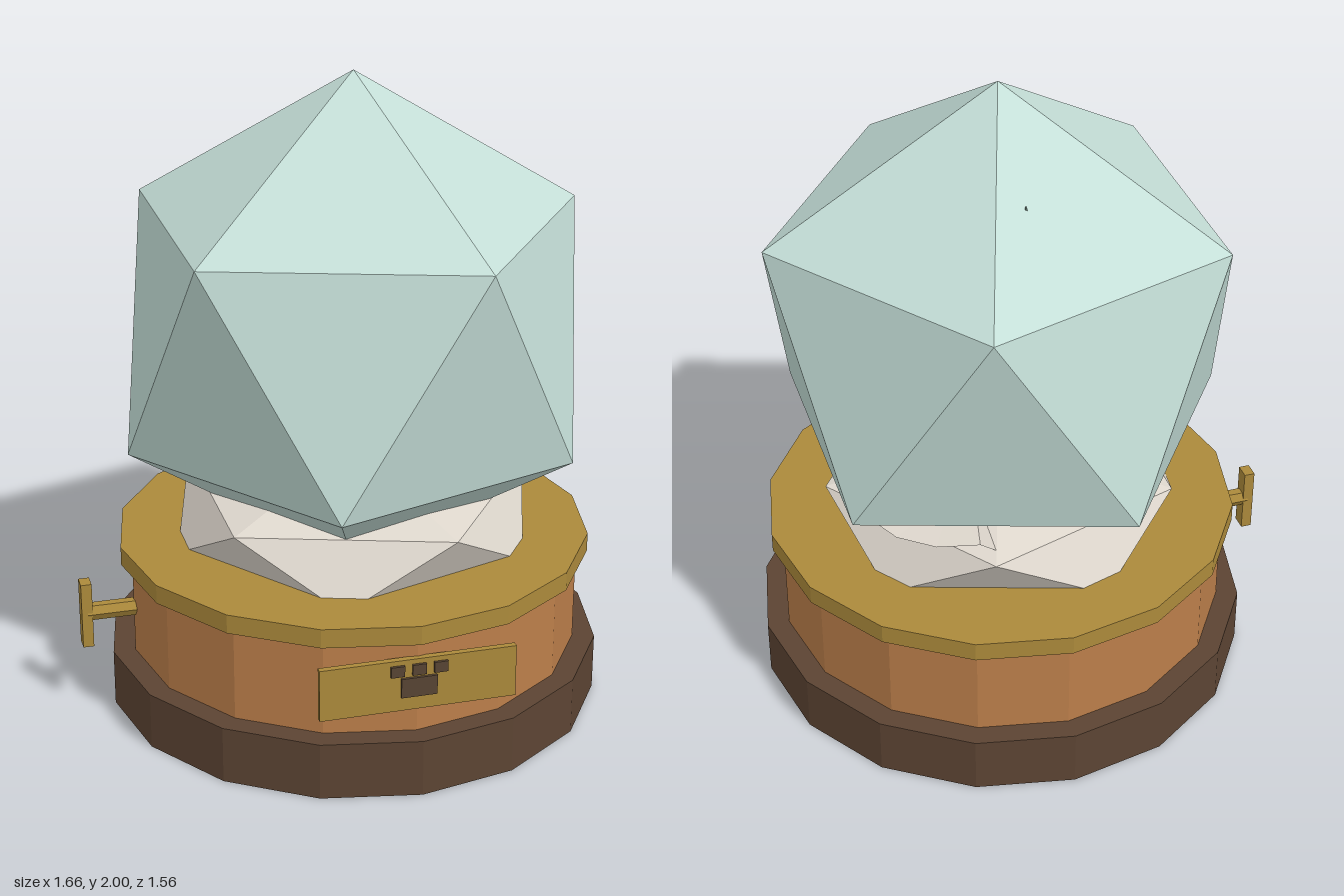
import * as THREE from 'three';
import { ConvexGeometry } from 'three/addons/geometries/ConvexGeometry.js';

const paint = (name, color) => {
  const m = new THREE.MeshStandardMaterial({ color, flatShading: true });
  m.name = name;
  return m;
};

export function createModel() {
  const glass = paint('paleGlass', 0xc4ded7);
  const snow = paint('snow', 0xded7cd);
  const wood = paint('warmWood', 0xbb7e4a);
  const darkWood = paint('darkWood', 0x5c4433);
  const brass = paint('brass', 0xab893b);
  const mark = paint('darkMark', 0x574433);
  const bark = paint('bark', 0x7c5238);
  const pine = paint('pine', 0x64796f);

  const model = new THREE.Group();
  model.name = 'snowGlobe';
  const CX = 0.045; // shared axis of the base and the globe

  const add = (name, geometry, material, x, y, z) => {
    const mesh = new THREE.Mesh(geometry, material);
    mesh.name = name;
    mesh.position.set(x, y, z);
    model.add(mesh);
    return mesh;
  };
  const box = (name, mat, w, h, d, x, y, z) => add(name, new THREE.BoxGeometry(w, h, d), mat, x, y, z);

  // Twenty-sided solid standing on one corner
  const icosahedron = (radius, height) => {
    const points = [new THREE.Vector3(0, height, 0), new THREE.Vector3(0, -height, 0)];
    const ring = radius * 2 / Math.sqrt(5), lift = height / Math.sqrt(5);
    for (let i = 0; i < 5; i++) {
      const a = i * Math.PI * 2 / 5, x = ring * Math.cos(a), z = ring * Math.sin(a);
      points.push(new THREE.Vector3(x, lift, z), new THREE.Vector3(-x, -lift, z));
    }
    return new ConvexGeometry(points);
  };

  // Stepped round base
  const tier = (name, mat, r, y0, y1) =>
    add(name, new THREE.CylinderGeometry(r, r, y1 - y0, 16), mat, CX, (y0 + y1) / 2, 0);
  tier('foot', darkWood, 0.78, 0, 0.18);
  tier('drum', wood, 0.71, 0.18, 0.48);
  tier('brassRim', brass, 0.745, 0.48, 0.54);

  // Globe and the snow bed it rests in
  add('globe', icosahedron(0.795, 0.795), glass, CX, 1.205, 0);
  add('snowBed', icosahedron(0.632, 0.212), snow, CX, 0.595, 0);

  // Jagged snow drift behind the globe
  const drift = new THREE.CylinderGeometry(0.1, 0.29, 0.08, 14, 1);
  const p = drift.attributes.position;
  for (let i = 0; i < p.count; i++) {
    const x = p.getX(i), z = p.getZ(i);
    if (Math.hypot(x, z) < 0.2) continue;
    const step = Math.round(Math.atan2(z, x) / (Math.PI * 2 / 14));
    const high = Math.abs(step % 2) === 1;
    const k = high ? 1 : 0.88;
    p.setXYZ(i, x * k, high ? 0.05 : -0.06, z * k);
  }
  drift.computeVertexNormals();
  add('snowDrift', drift, snow, 0.26, 0.71, -0.22);

  // Log in the snow and the tip of the tree
  const log = add('log', new THREE.DodecahedronGeometry(0.13), bark, -0.31, 0.69, -0.12);
  log.scale.set(1, 0.35, 1);
  add('treeTip', new THREE.ConeGeometry(0.03, 0.08, 5), pine, 0.065, 1.735, -0.33);

  // Winding key
  const stem = add('keyStem', new THREE.CylinderGeometry(0.028, 0.028, 0.17, 6), brass, -0.73, 0.333, 0);
  stem.rotation.z = Math.PI / 2;
  box('keyHandle', brass, 0.034, 0.215, 0.05, -0.816, 0.33, 0);

  // Name plate with a paw mark
  box('plate', brass, 0.6, 0.165, 0.02, CX, 0.343, 0.715);
  box('pawPad', mark, 0.11, 0.062, 0.009, CX, 0.337, 0.729);
  for (const i of [-1, 0, 1]) box('pawToe', mark, 0.042, 0.034, 0.009, CX + i * 0.066, 0.393, 0.729);

  return model;
}
